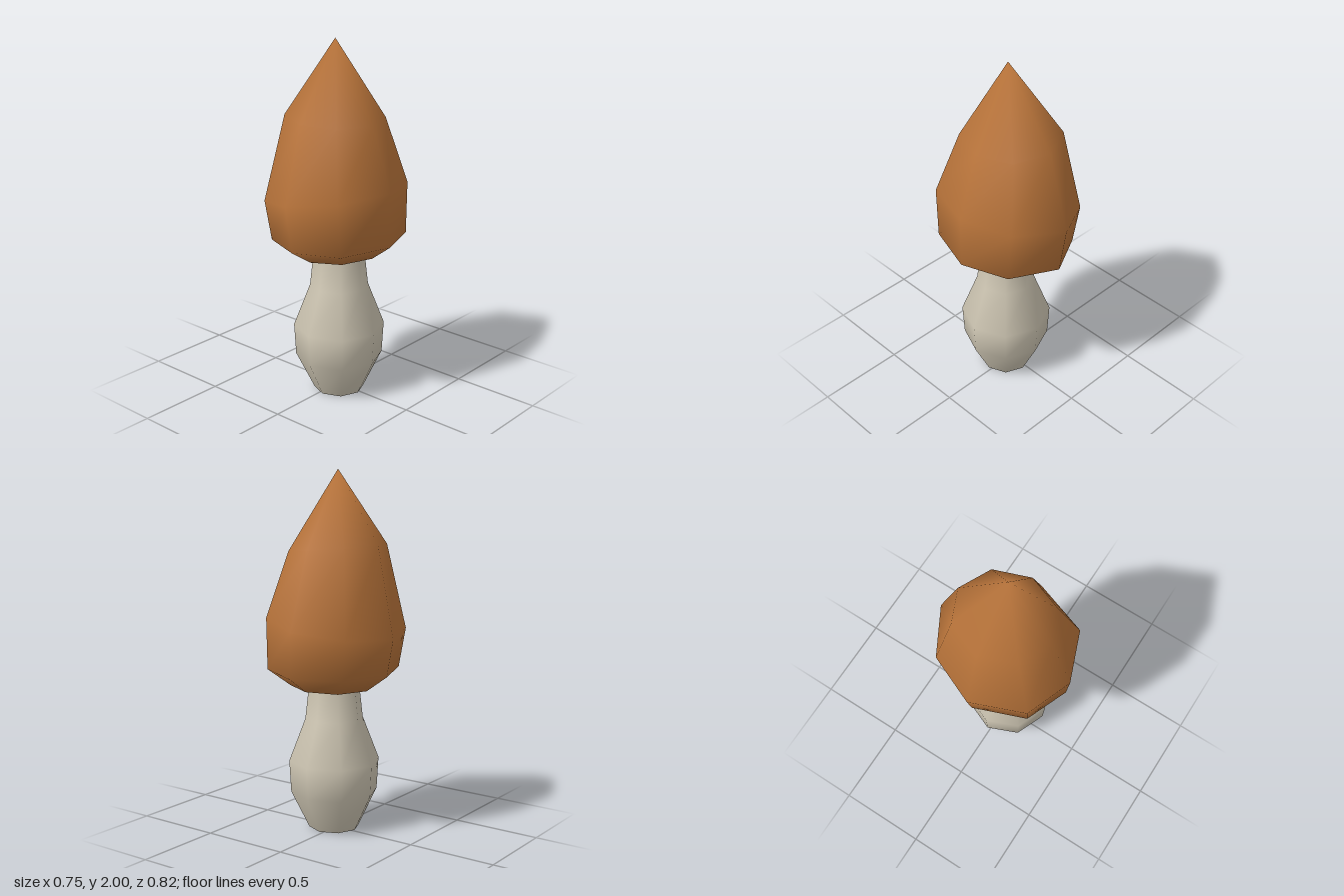
import * as THREE from 'three';

const SIDES = 8;

// Smooth eight-sided skin through rings { y, x, z, rx, rz, tilt }, closed by a point at each end.
function loft(rings, bottom, top) {
  const pos = [], index = [];
  for (const r of rings) {
    for (let i = 0; i < SIDES; i++) {
      const a = (i / SIDES) * Math.PI * 2;
      const dx = Math.sin(a) * r.rx;
      // diagonal corners sit slightly off, for a hand-shaped look
      const nudge = i % 2 ? (r.skew || 0) : 0;
      pos.push(r.x + dx + nudge * 0.5, r.y + dx * (r.tilt || 0), r.z + Math.cos(a) * r.rz + nudge);
    }
  }
  for (let k = 0; k < rings.length - 1; k++) {
    for (let i = 0; i < SIDES; i++) {
      const j = (i + 1) % SIDES;
      const a = k * SIDES + i, b = k * SIDES + j;
      index.push(a, b, b + SIDES, a, b + SIDES, a + SIDES);
    }
  }
  const last = (rings.length - 1) * SIDES;
  for (const [point, start, isTop] of [[bottom, 0, false], [top, last, true]]) {
    if (!point) continue;
    const tip = pos.length / 3;
    pos.push(...point);
    for (let i = 0; i < SIDES; i++) {
      const a = start + i, b = start + (i + 1) % SIDES;
      index.push(...(isTop ? [a, b, tip] : [b, a, tip]));
    }
  }
  const geo = new THREE.BufferGeometry();
  geo.setAttribute('position', new THREE.Float32BufferAttribute(pos, 3));
  geo.setIndex(index);
  geo.computeVertexNormals();
  return geo;
}

export function createModel() {
  const group = new THREE.Group();
  group.name = 'mushroom';

  const capBrown = new THREE.MeshStandardMaterial({ color: 0xb9743a });
  capBrown.name = 'capBrown';
  const stemCream = new THREE.MeshStandardMaterial({ color: 0xcdc5b2 });
  stemCream.name = 'stemCream';

  const add = (name, geo, mat) => {
    const mesh = new THREE.Mesh(geo, mat);
    mesh.name = name;
    group.add(mesh);
    return mesh;
  };

  // bulbous stem, its top hidden in the cap
  const cx = 0.024, cz = 0.017;
  const stemRings = [[0, 0.142], [0.21, 0.244], [0.39, 0.254], [0.63, 0.162], [0.83, 0.14], [0.9, 0.135]]
    .map(([y, r]) => ({ y, x: cx, z: cz, rx: r, rz: r }));
  add('stem', loft(stemRings, null, [cx, 0.9, cz]), stemCream);

  // flat foot with a sharp edge
  const foot = add('stemBase', new THREE.CircleGeometry(0.142, SIDES), stemCream);
  foot.rotation.x = Math.PI / 2;
  foot.position.set(cx, 0, cz);

  // tall pointed cap, leaning a little
  add('cap', loft([
    { y: 0.82, x: 0.022, z: 0.003, rx: 0.228, rz: 0.248, tilt: 0.04 },
    { y: 0.912, x: 0.018, z: 0.002, rx: 0.353, rz: 0.388, tilt: 0.025, skew: 0.015 },
    { y: 1.165, x: -0.003, z: 0.002, rx: 0.371, rz: 0.412, tilt: 0.15, skew: 0.015 },
    { y: 1.582, x: -0.01, z: 0.008, rx: 0.26, rz: 0.283, tilt: -0.08 },
  ], [0.022, 0.825, 0.01], [0, 2, 0.02]), capBrown);

  return group;
}
